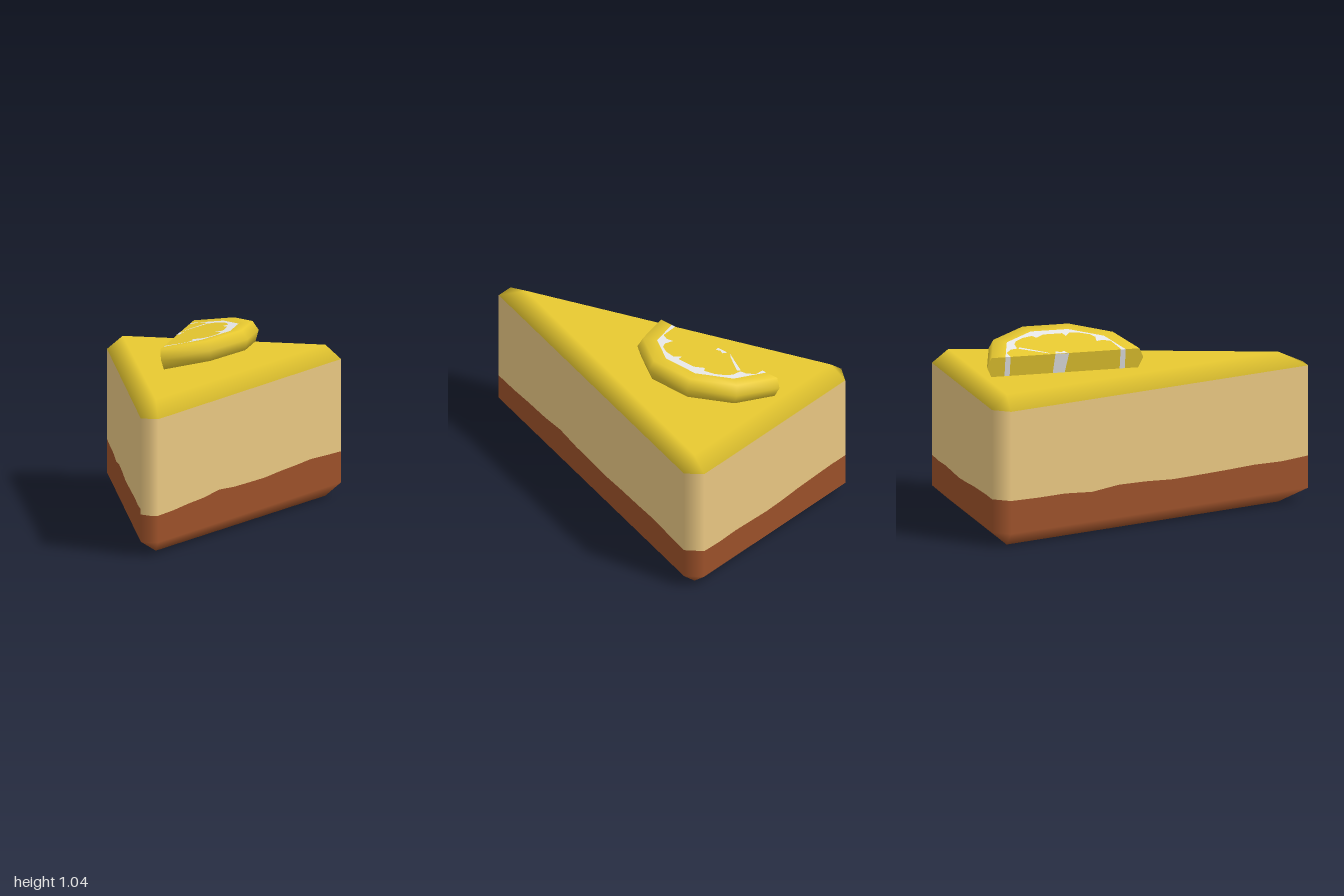
import * as THREE from 'three';

const mat = (name, color, side = THREE.FrontSide) => {
  const m = new THREE.MeshStandardMaterial({ color, side });
  m.name = name;
  return m;
};

const V = (x, y, z) => new THREE.Vector3(x, y, z);
const UP = V(0, 1, 0), DOWN = V(0, -1, 0);

// Joins pairs of rings (lower, upper) of {p, n} points into one surface
function skin(bands) {
  const pos = [], nor = [], index = [];
  for (const [lower, upper] of bands) {
    const base = pos.length / 3;
    lower.forEach((l, i) => {
      for (const v of [l, upper[i]]) {
        pos.push(...v.p.toArray());
        nor.push(...v.n.toArray());
      }
      if (i === 0) return;
      const a = base + 2 * (i - 1), b = a + 2;
      index.push(a, b, b + 1, a, b + 1, a + 1);
    });
  }
  const g = new THREE.BufferGeometry();
  g.setAttribute('position', new THREE.Float32BufferAttribute(pos, 3));
  g.setAttribute('normal', new THREE.Float32BufferAttribute(nor, 3));
  g.setIndex(index);
  return g;
}

function shapeOf(points) {
  return new THREE.ShapeGeometry(new THREE.Shape(points.map(([x, y]) => new THREE.Vector2(x, y))));
}

// Flat patch at height h from [x, z] points, facing up or down
function level(points, h, up) {
  const g = shapeOf(up ? points.map(([x, z]) => [x, -z]) : points);
  return g.rotateX(up ? -Math.PI / 2 : Math.PI / 2).translate(0, h, 0);
}

// Upright patch facing -x from [z, y] points
const upright = (points, x = 0) => shapeOf(points).rotateY(-Math.PI / 2).translate(x, 0, 0);

export function createModel() {
  const model = new THREE.Group();
  const lemon = mat('lemon yellow', 0xf2d233);
  const cream = mat('cream filling', 0xf0cd86);
  const crust = mat('biscuit brown', 0x9a5029);
  const peelMat = mat('lemon peel', 0xf2d233, THREE.DoubleSide);
  const pithMat = mat('pith white', 0xfafafa, THREE.DoubleSide);

  const add = (parent, name, geometry, material) => {
    const mesh = new THREE.Mesh(geometry, material);
    mesh.name = name;
    parent.add(mesh);
  };

  // Wedge outline: right wall, back wall, left wall, with narrow corners between
  const right = V(0.951, 0, 0.309), back = V(0, 0, -1), left = V(-0.951, 0, 0.309);
  const tip = [0, 0.84], backRight = [0.58, -0.91], backLeft = [-0.58, -0.91];
  const outline = [
    { x: 0.05, z: 1, n: right, cap: tip },
    { x: 0.67, z: -0.91, n: right, cap: backRight },
    { x: 0.6, z: -1, n: back, cap: backRight },
    { x: -0.6, z: -1, n: back, cap: backLeft },
    { x: -0.67, z: -0.91, n: left, cap: backLeft },
    { x: -0.05, z: 1, n: left, cap: tip },
  ];
  // Heights of the uneven crust line along each stretch of the outline
  const waves = [
    [0.232, 0.235, 0.245, 0.25, 0.267, 0.255, 0.252, 0.25, 0.258, 0.262, 0.269, 0.262, 0.257],
    [0.257, 0.255],
    [0.255, 0.25, 0.255, 0.25, 0.245, 0.25, 0.26, 0.265, 0.27, 0.27],
    [0.27, 0.27],
    [0.27, 0.265, 0.265, 0.25, 0.267, 0.262, 0.25, 0.252, 0.255, 0.26, 0.255, 0.265],
    [0.235, 0.23, 0.232],
  ];
  const LOW = 0.08, HIGH = 0.782, TOP = 0.86;
  const wavy = [];
  waves.forEach((ys, k) => {
    const a = outline[k], b = outline[(k + 1) % 6];
    ys.forEach((y, i) => {
      const t = i / (ys.length - 1);
      wavy.push({
        p: V(a.x, y, a.z).lerp(V(b.x, y, b.z), t),
        n: a.n.clone().lerp(b.n, t).normalize(),
      });
    });
  });
  const atHeight = (y) => wavy.map(({ p, n }) => ({ p: V(p.x, y, p.z), n }));
  const closed = [...outline, outline[0]];
  const rim = (y) => closed.map((o) => ({ p: V(o.x, y, o.z), n: o.n }));
  const cap = (y, n) => closed.map((o) => ({ p: V(o.cap[0], y, o.cap[1]), n }));
  const middle = (y, n) => closed.map(() => ({ p: V(0, y, -0.3), n }));

  add(model, 'crust', skin([
    [middle(0, DOWN), cap(0, DOWN)],
    [cap(0, DOWN), rim(LOW)],
    [atHeight(LOW), wavy],
  ]), crust);
  add(model, 'filling', skin([[wavy, atHeight(HIGH)]]), cream);
  add(model, 'topping', skin([
    [rim(HIGH), cap(TOP, UP)],
    [cap(TOP, UP), middle(TOP, UP)],
  ]), lemon);

  // Half slice of lemon, resting on its cut edge
  const slice = new THREE.Group();
  slice.name = 'lemonSlice';
  slice.position.set(-0.145, TOP, -0.445);
  slice.rotation.z = 0.174;
  model.add(slice);

  const T = 0.115, R = 0.35;
  const profile = [[R, 0], [0.427, 0], [0.455, 0.06], [0.43, T], [R, T]];
  add(slice, 'peel', new THREE.LatheGeometry(
    profile.map(([r, y]) => new THREE.Vector2(r, y)), 5, 0, Math.PI), peelMat);

  // Ragged border between flesh and pith, as [x, z]
  const ragged = [
    [0, -0.32], [0.06, -0.325], [0.1, -0.29], [0.11, -0.25], [0.17, -0.25], [0.21, -0.23],
    [0.25, -0.18], [0.27, -0.12], [0.24, -0.1], [0.28, -0.05], [0.28, 0.06], [0.24, 0.07],
    [0.28, 0.1], [0.27, 0.16], [0.24, 0.21], [0.2, 0.23], [0.14, 0.22], [0.15, 0.26],
    [0.13, 0.3], [0.08, 0.31], [0, 0.325],
  ];
  const arc = Array.from({ length: 6 }, (_, i) => {
    const a = Math.PI / 2 - (i * Math.PI) / 5;
    return [R * Math.cos(a), R * Math.sin(a)];
  });
  const streak = [[0, -0.08], [0.1, -0.245], [0.12, -0.235], [0.03, -0.11]];
  const core = [[0, -0.06], [0.03, -0.05], [0.015, -0.02], [0.03, 0], [0, 0.01]];
  for (const up of [true, false]) {
    const side = up ? 'top' : 'bottom';
    const h = up ? T : 0, over = up ? T + 0.002 : -0.002;
    add(slice, side + 'Flesh', level(ragged, h, up), peelMat);
    add(slice, side + 'Pith', level([...ragged, ...arc], h, up), pithMat);
    add(slice, side + 'Streak', level(streak, over, up), pithMat);
    add(slice, side + 'Core', level(core, over, up), pithMat);
  }

  // Straight cut face
  const band = (a, b) => [[a, 0], [b, 0], [b, T], [a, T]];
  add(slice, 'cutFlesh', upright(band(-0.32, 0.32)), peelMat);
  add(slice, 'cutCore', upright([[-0.07, 0], [0.0, 0], [0.02, T], [-0.06, T]], -0.002), pithMat);
  for (const s of [-1, 1]) {
    add(slice, 'cutPith', upright(band(s * 0.32, s * R)), pithMat);
    add(slice, 'cutPeel', upright(profile.map(([r, y]) => [s * r, y])), peelMat);
  }
  return model;
}
